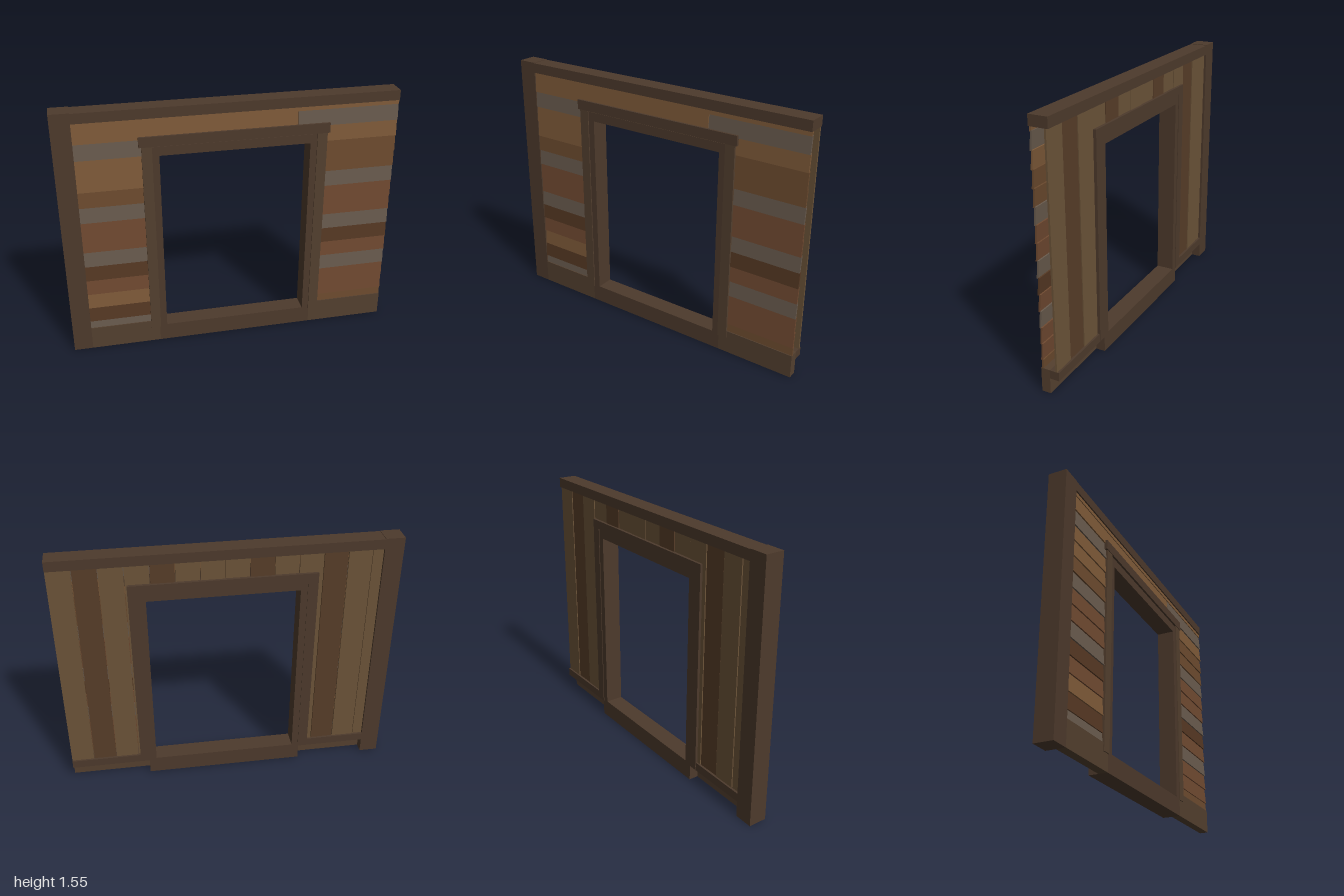
import * as THREE from 'three';

const mats = {};
const mat = (c) => (mats[c] ??= new THREE.MeshStandardMaterial({ color: c }));

const TRIM = 0x4d3a2c, TRIM_LIGHT = 0x54402f;
const TAN = 0x7d5938, BROWN = 0x6b4a2e, RED = 0x6f4930, DARK = 0x553823, GREY = 0x685a4d;
const BACK_A = 0x6b5338, BACK_B = 0x573d28;

// Box given by its limits on each axis
function block(parent, name, color, x0, x1, y0, y1, z0, z1) {
  const m = new THREE.Mesh(new THREE.BoxGeometry(x1 - x0, y1 - y0, z1 - z0), mat(color));
  m.position.set((x0 + x1) / 2, (y0 + y1) / 2, (z0 + z1) / 2);
  m.name = name;
  parent.add(m);
  return m;
}

function group(parent, name) {
  const g = new THREE.Group();
  g.name = name;
  parent.add(g);
  return g;
}

// Doorway limits (outside and inside of the jambs) and wall faces
const OX0 = -0.46, OX1 = 0.515, IX0 = -0.415, IX1 = 0.47;
const HEAD = 1.32, SILL = 0.11;
const ZB = -0.058, ZF = 0.054, POST = -0.887;
const BASE = 0.147, BEAM = 1.49;

export function createModel() {
  const wall = new THREE.Group();
  wall.name = 'doorwayWall';

  // Structural frame
  const frame = group(wall, 'frame');
  block(frame, 'cornerPost', TRIM, -1, POST, 0, 1.553, ZB, ZF);
  block(frame, 'topBeam', TRIM, POST, 1, BEAM, 1.55, ZB, ZF);
  for (const [x0, x1] of [[POST, OX0], [OX1, 1]]) {
    block(frame, 'baseboard', TRIM_LIGHT, x0, x1, 0, BASE, 0, ZF);
    block(frame, 'backLedge', TRIM, x0, x1, 0.095, BASE, ZB, 0);
  }

  // Doorway lining and casings
  const door = group(wall, 'doorway');
  block(door, 'threshold', TRIM, OX0, OX1, 0, SILL, ZB, ZF);
  block(door, 'jamb', TRIM, OX0, IX0, SILL, HEAD, ZB, ZF);
  block(door, 'jamb', TRIM, IX1, OX1, SILL, HEAD, ZB, ZF);
  block(door, 'headJamb', TRIM, IX0, IX1, 1.265, HEAD, ZB, ZF);
  for (const [x0, x1] of [[-0.515, -0.455], [0.51, 0.57]]) {
    block(door, 'frontCasing', TRIM_LIGHT, x0, x1, 0.1, 1.325, 0.035, 0.06);
    block(door, 'backCasing', TRIM, x0, x1, 0.1, HEAD, -0.062, -0.035);
  }
  block(door, 'frontHeadCasing', TRIM, -0.53, 0.583, 1.325, 1.385, 0.03, 0.063);
  block(door, 'backHeadCasing', TRIM, -0.515, 0.57, HEAD, 1.37, -0.062, -0.035);

  // Overlapping horizontal siding on the front, lower edges tilted outward
  const siding = group(wall, 'frontSiding');
  const STEP = 0.0975, LOW = 0.197;
  const clapboard = (color, x0, x1, y0, y1) => {
    const m = block(siding, 'clapboard', color, x0, x1, y0, y1, 0.037, 0.047);
    m.rotation.x = -0.08;
  };
  const leftColors = [GREY, DARK, TAN, RED, DARK, GREY, RED, RED, GREY, BROWN, TAN, TAN, GREY];
  const rightColors = [BROWN, RED, RED, GREY, RED, DARK, GREY, RED, RED, GREY, BROWN, BROWN, TAN];
  leftColors.forEach((color, i) => {
    const y0 = i ? LOW + (i - 1) * STEP : BASE;
    const y1 = LOW + i * STEP;
    clapboard(color, POST, OX0, y0, y1 + 0.006);
    clapboard(rightColors[i], OX1, 1, y0, y1 + 0.006);
  });
  const top = LOW + 12 * STEP;
  clapboard(TAN, POST, 0.392, top, top + STEP + 0.006);
  clapboard(GREY, 0.395, 1, top, top + STEP + 0.006);
  clapboard(TAN, POST, 1, top + STEP, BEAM);

  // Vertical boards on the back, cut short above the doorway
  const boards = group(wall, 'backBoards');
  const W = 0.1405;
  const tones = [BACK_A, BACK_B, BACK_A, BACK_A, BACK_B, BACK_A, BACK_A];
  for (let i = 0; 1 - i * W > POST; i++) {
    const x1 = 1 - i * W, x0 = Math.max(x1 - W + 0.004, POST);
    const color = tones[i % tones.length];
    const z = -0.047 + (i % 2) * 0.003;
    const add = (a, b, y0) => b > a && block(boards, 'backBoard', color, a, b, y0, BEAM, z, z + 0.011);
    add(Math.max(x0, OX1), x1, BASE);
    add(Math.max(x0, OX0), Math.min(x1, OX1), HEAD);
    add(x0, Math.min(x1, OX0), BASE);
  }

  return wall;
}
